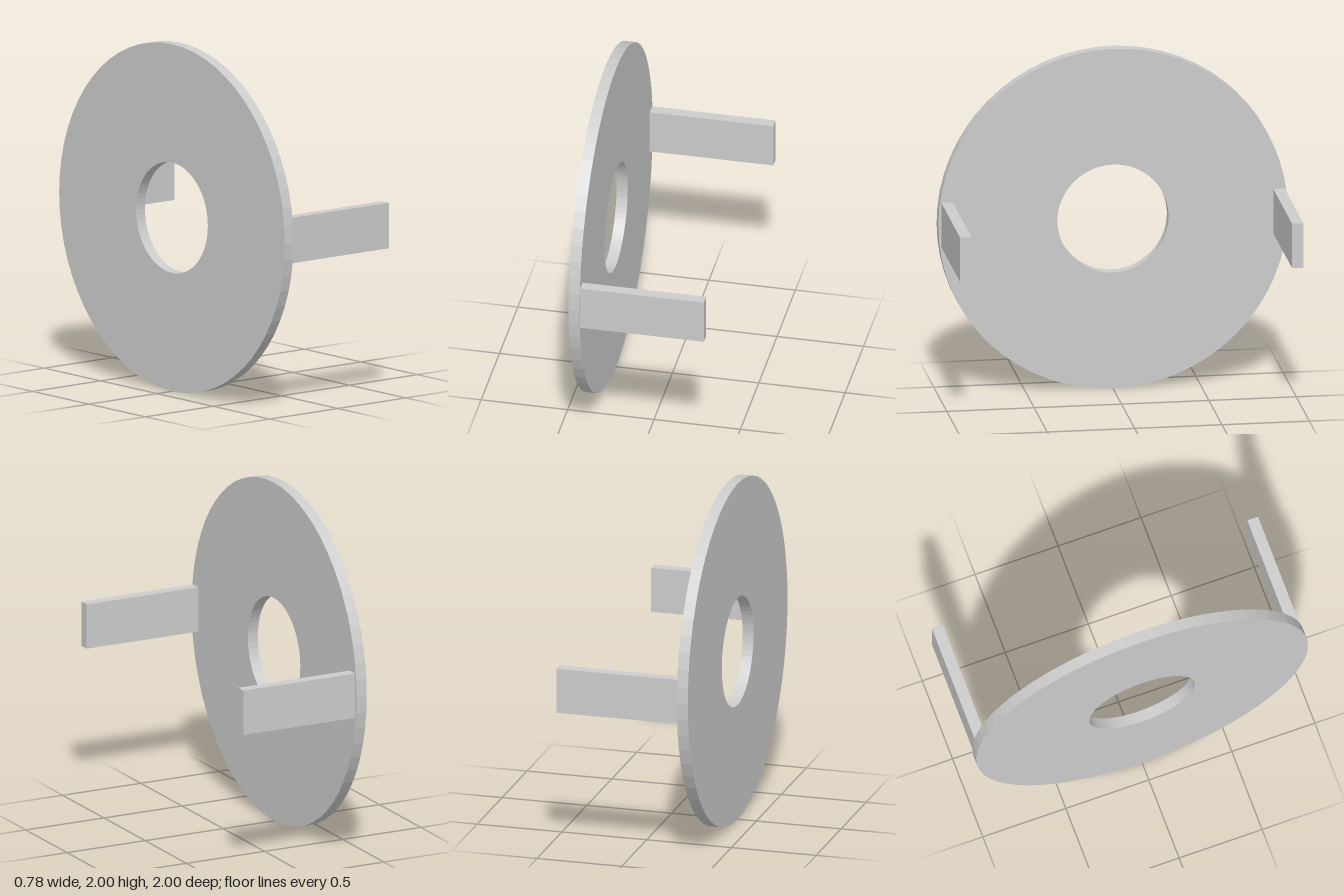
import * as THREE from 'three';

export function createModel() {
  const group = new THREE.Group();
  const material = new THREE.MeshStandardMaterial({ color: 0xcccccc, flatShading: true });

  // Upright disc with a round central hole, facing along x
  const thickness = 0.065;
  const outline = new THREE.Shape().absarc(0, 0, 1, 0, Math.PI * 2);
  outline.holes.push(new THREE.Path().absarc(0, 0, 0.318, 0, Math.PI * 2, true));
  const discGeometry = new THREE.ExtrudeGeometry(outline, {
    depth: thickness, bevelEnabled: false, curveSegments: 32,
  });
  discGeometry.rotateY(Math.PI / 2);
  const disc = new THREE.Mesh(discGeometry, material);
  disc.name = 'disc';
  disc.position.set(-0.39, 1, 0);
  group.add(disc);

  // Two flat arms standing out from the disc near its rim
  const armLength = 0.78 - thickness;
  const armGeometry = new THREE.BoxGeometry(armLength, 0.262, 0.065);
  for (const side of [1, -1]) {
    const arm = new THREE.Mesh(armGeometry, material);
    arm.name = side > 0 ? 'frontArm' : 'backArm';
    arm.position.set(0.39 - armLength / 2, 1.004, side * 0.95);
    group.add(arm);
  }

  return group;
}
